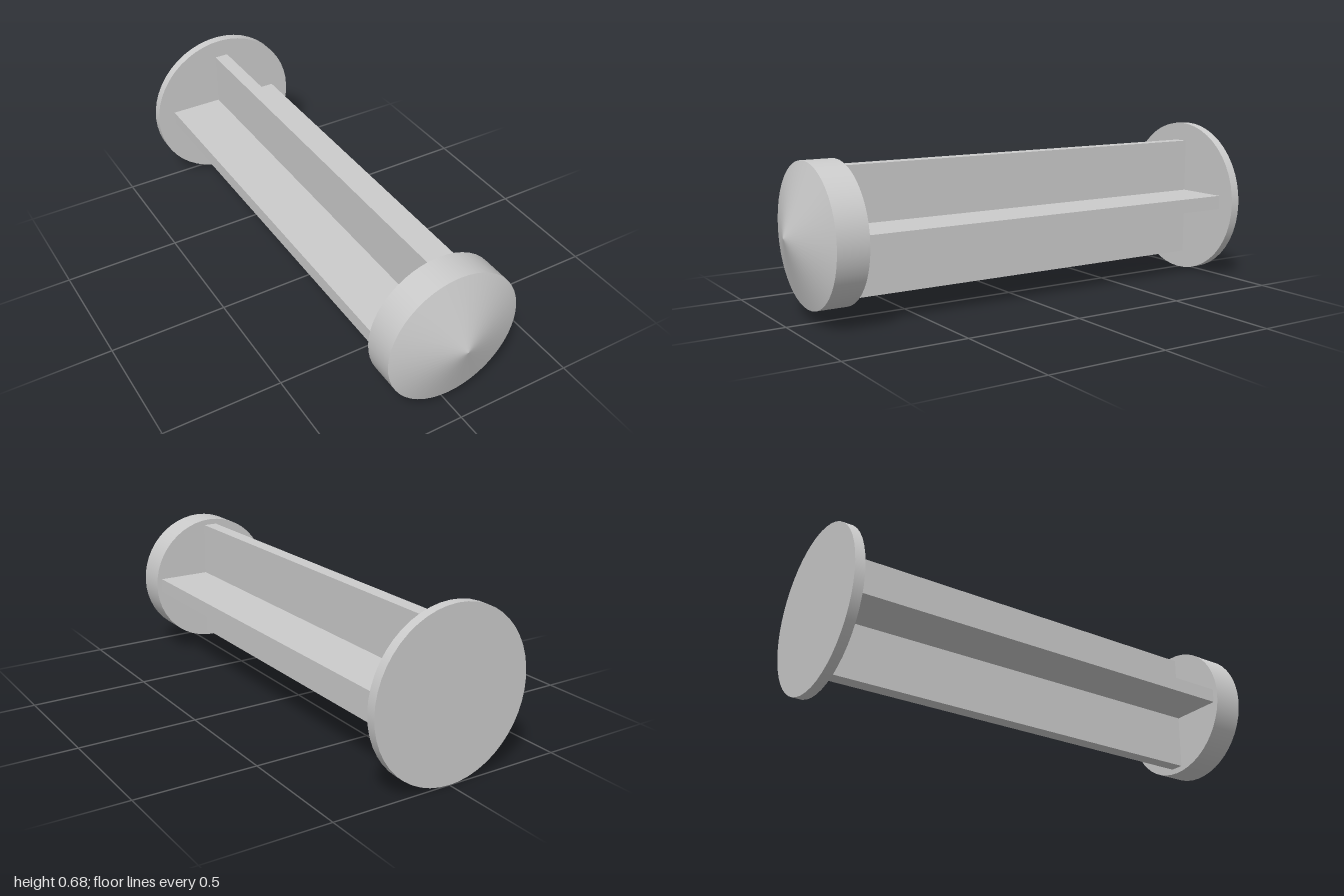
import * as THREE from 'three';

const SIDES = 48;
const AXIS_Y = 0.34;

export function createModel() {
  const model = new THREE.Group();
  model.name = 'plunger';
  const grey = new THREE.MeshStandardMaterial({ color: 0xcccccc });

  const add = (name, geometry) => {
    const mesh = new THREE.Mesh(geometry, grey);
    mesh.name = name;
    mesh.position.y = AXIS_Y;
    model.add(mesh);
  };

  // Round section lying along z, from z0 (radius r0) to z1 (radius r1)
  const round = (z0, z1, r0, r1, open) =>
    new THREE.CylinderGeometry(r1, r0, z1 - z0, SIDES, 1, open)
      .rotateX(Math.PI / 2)
      .translate(0, 0, (z0 + z1) / 2);

  // Thumb flange at the back
  add('thumbFlange', round(-1, -0.96, 0.34, 0.34, false));

  // Shaft with a cross-shaped section
  const arm = 0.26, half = 0.03;
  const corners = [];
  for (let i = 0; i < 4; i++) {
    const turn = (i * Math.PI) / 2;
    for (const [x, y] of [[arm, -half], [arm, half], [half, half]]) {
      corners.push(new THREE.Vector2(x, y).rotateAround(new THREE.Vector2(), turn));
    }
  }
  const shaft = new THREE.ExtrudeGeometry(new THREE.Shape(corners), {
    depth: 0.78 + 0.96, bevelEnabled: false,
  });
  add('crossShaft', shaft.translate(0, 0, -0.96));

  // Head: flat back face, cylindrical rim and pointed front
  add('headBack', new THREE.CircleGeometry(0.285, SIDES).rotateX(Math.PI).rotateZ(Math.PI / 2).translate(0, 0, 0.78));
  add('headRim', round(0.78, 0.91, 0.285, 0.285, true));
  add('headCone', round(0.91, 1, 0.285, 0, true));

  return model;
}
